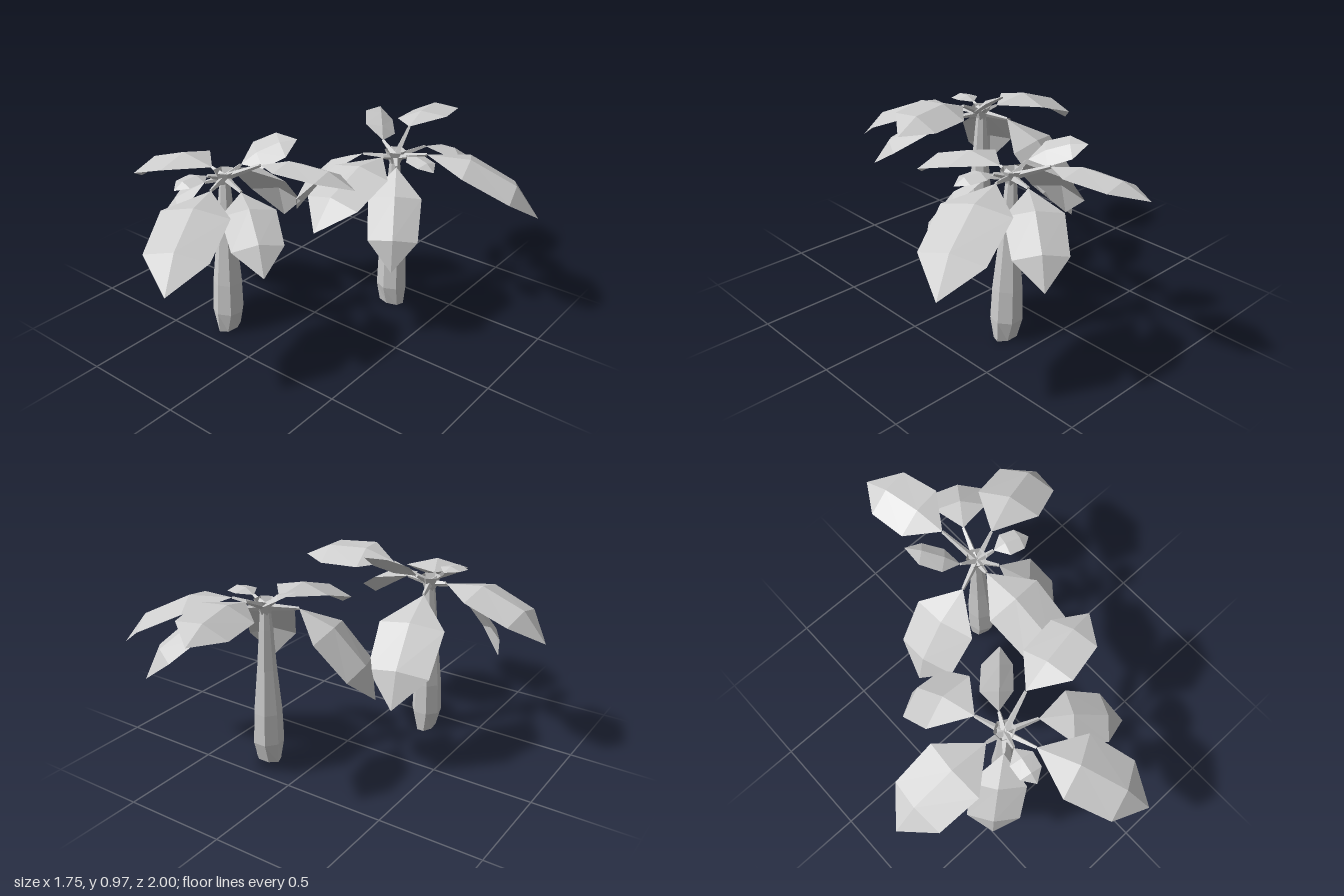
import * as THREE from 'three';

const palmGrey = new THREE.MeshStandardMaterial({ color: 0xcccccc, flatShading: true, side: THREE.DoubleSide });
palmGrey.name = 'palm grey';

const V = (a) => new THREE.Vector3(...a);
const UP = new THREE.Vector3(0, 1, 0);

function add(group, geometry, name) {
  const mesh = new THREE.Mesh(geometry, palmGrey);
  mesh.name = name;
  group.add(mesh);
}

// Six-cornered blade, folded along its midrib, arched and rolled about its length
function bladeGeometry(base, tip, width, arch, roll) {
  const along = tip.clone().sub(base);
  const length = along.length();
  const side = along.clone().cross(UP).normalize();
  const normal = side.clone().cross(along).normalize();
  const axis = along.clone().normalize();
  const rolledSide = side.clone().applyAxisAngle(axis, -roll);
  const rolledNormal = normal.clone().applyAxisAngle(axis, -roll);
  const points = [base];
  for (const [t, w] of [[0.31, 1], [0.72, 0.93]]) {
    for (const s of [-1, 0, 1]) {
      points.push(base.clone().addScaledVector(along, t)
        .addScaledVector(normal, length * arch)
        .addScaledVector(rolledSide, s * w * width / 2)
        .addScaledVector(rolledNormal, -Math.abs(s) * width * 0.13));
    }
  }
  points.push(tip);
  const geometry = new THREE.BufferGeometry().setFromPoints(points);
  geometry.setIndex([
    0, 3, 2, 0, 2, 1,
    2, 3, 6, 2, 6, 5, 1, 2, 5, 1, 5, 4,
    5, 6, 7, 4, 5, 7,
  ]);
  geometry.computeVertexNormals();
  return geometry;
}

// Tapered four-sided stalk between two points
function stalkGeometry(from, to) {
  const along = to.clone().sub(from);
  const geometry = new THREE.CylinderGeometry(0.008, 0.018, along.length(), 4);
  geometry.applyQuaternion(new THREE.Quaternion().setFromUnitVectors(UP, along.clone().normalize()));
  const mid = from.clone().lerp(to, 0.5);
  return geometry.translate(mid.x, mid.y, mid.z);
}

// Bulging trunk with an open foot, leaning from foot to crown
function trunkGeometry(foot, crown, footScale) {
  const profile = [[0.06, 0.005], [0.077, 0.11], [0.071, 0.27],
    [0.049, 0.5], [0.034, 0.7], [0.026, crown.y - 0.02], [0, crown.y]];
  const geometry = new THREE.LatheGeometry(profile.map((p) => new THREE.Vector2(...p)), 7);
  const pos = geometry.attributes.position;
  for (let i = 0; i < pos.count; i++) {
    const y = pos.getY(i);
    const t = y / crown.y;
    const low = y < 0.05;
    pos.setX(i, pos.getX(i) * (low ? footScale[0] : 1) + THREE.MathUtils.lerp(foot[0], crown.x, t));
    pos.setZ(i, pos.getZ(i) * (low ? footScale[1] : 1) + THREE.MathUtils.lerp(foot[1], crown.z, t));
  }
  geometry.computeVertexNormals();
  return geometry;
}

function makePalm(name, foot, crownAt, footScale, leaves) {
  const palm = new THREE.Group();
  palm.name = name;
  const crown = V(crownAt);
  add(palm, trunkGeometry(foot, crown, footScale), 'trunk');
  // Flared bud where the stalks meet
  const bud = new THREE.CylinderGeometry(0.052, 0.025, 0.07, 6, 1, true);
  add(palm, bud.translate(crown.x, crown.y, crown.z), 'crownBud');
  for (const [base, tip, width, arch = 0.145, roll = 0] of leaves) {
    const leaf = new THREE.Group();
    leaf.name = 'leaf';
    add(leaf, stalkGeometry(crown, V(base)), 'stalk');
    add(leaf, bladeGeometry(V(base), V(tip), width, arch, roll), 'blade');
    palm.add(leaf);
  }
  return palm;
}

export function createModel() {
  const model = new THREE.Group();
  model.name = 'palmPair';

  // Each leaf: blade base, blade tip, width, optional arch, optional roll (positive lifts its right edge)
  model.add(makePalm('frontPalm', [-0.255, 0.365], [-0.255, 0.81, 0.345], [0.7, 1.15], [
    [[-0.35, 0.83, 0.33], [-0.88, 0.64, 0.32], 0.32, 0.16],
    [[-0.32, 0.79, 0.41], [-0.54, 0.40, 0.58], 0.26, 0.15, 0.15],
    [[-0.20, 0.81, 0.49], [0.03, 0.585, 1.0], 0.32],
    [[-0.10, 0.80, 0.40], [0.235, 0.58, 0.63], 0.25],
    [[-0.08, 0.90, 0.29], [0.39, 0.88, 0.21], 0.27, 0.12, 0.2],
    [[-0.22, 0.86, 0.27], [-0.04, 0.97, 0.08], 0.17, 0.08, -0.5],
    [[-0.30, 0.80, 0.20], [-0.37, 0.375, -0.2], 0.32],
    [[-0.28, 0.84, 0.43], [-0.31, 0.82, 0.61], 0.12],
  ]));

  model.add(makePalm('backPalm', [0.235, -0.35], [0.215, 0.81, -0.355], [1.15, 0.75], [
    [[0.17, 0.90, -0.54], [0.09, 0.87, -1.0], 0.27, 0.1, 0.2],
    [[0.13, 0.87, -0.37], [-0.03, 0.955, -0.57], 0.16, 0.08, -0.4],
    [[0.07, 0.81, -0.29], [-0.30, 0.42, -0.22], 0.32],
    [[0.28, 0.83, -0.52], [0.51, 0.56, -0.84], 0.25],
    [[0.36, 0.84, -0.41], [0.87, 0.575, -0.62], 0.32],
    [[0.28, 0.80, -0.27], [0.44, 0.39, -0.02], 0.25],
    [[0.30, 0.84, -0.33], [0.48, 0.82, -0.28], 0.12],
    [[0.20, 0.83, -0.27], [0.21, 0.64, 0.27], 0.30],
  ]));

  return model;
}
